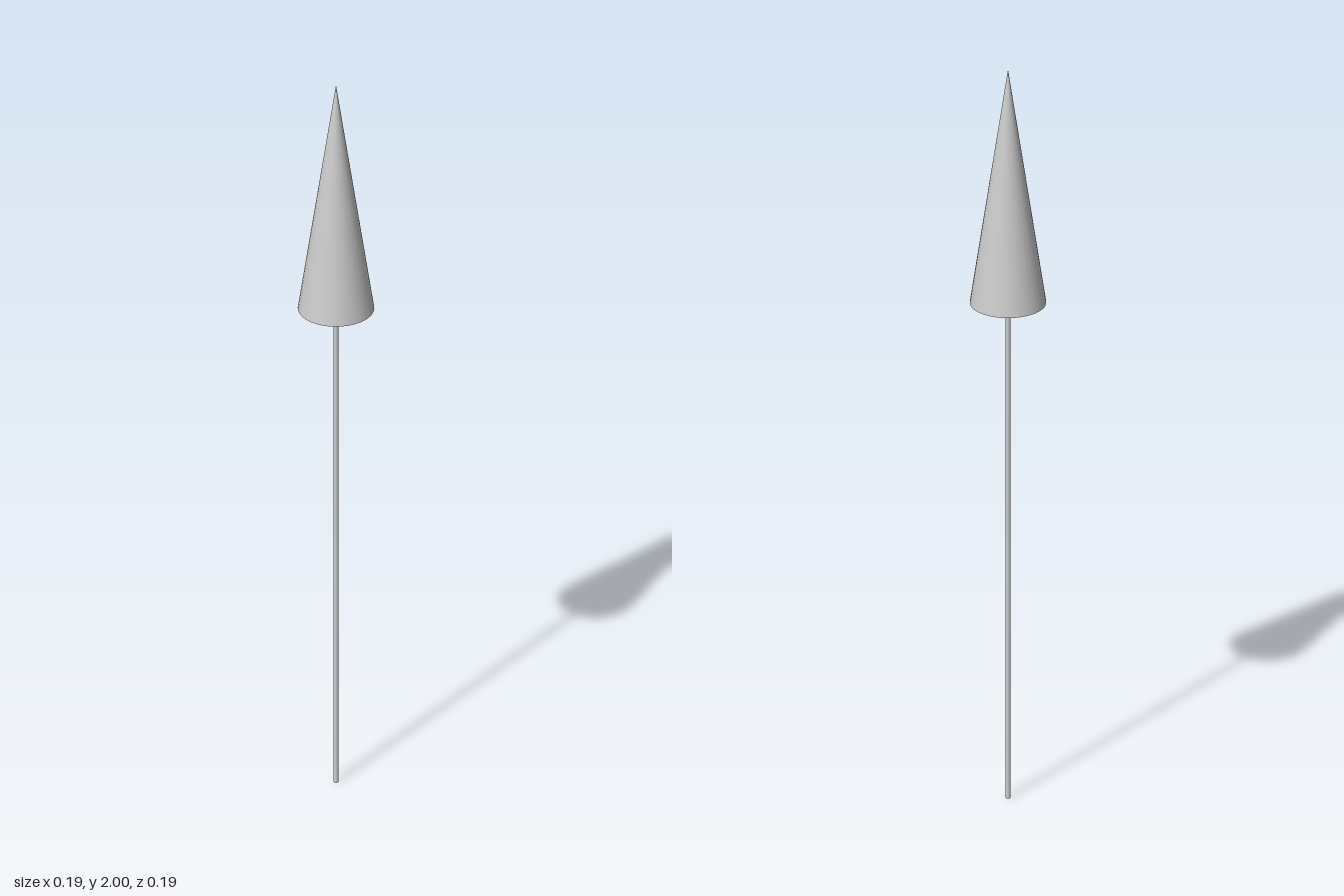
import * as THREE from 'three';

const HEIGHT = 2;
const HEAD_BASE = 1.36;
const HEAD_RADIUS = 0.096;
const SHAFT_RADIUS = 0.0065;

export function createModel() {
  const model = new THREE.Group();
  model.name = 'arrow';
  const material = new THREE.MeshStandardMaterial({ color: 0xcccccc });

  const add = (name, geometry, y) => {
    const mesh = new THREE.Mesh(geometry, material);
    mesh.name = name;
    mesh.position.y = y;
    model.add(mesh);
  };

  // Thin round shaft, from the ground to the base of the head
  add('shaft', new THREE.CylinderGeometry(SHAFT_RADIUS, SHAFT_RADIUS, HEAD_BASE, 16), HEAD_BASE / 2);

  // Pointed head with a flat closed base
  add('head', new THREE.ConeGeometry(HEAD_RADIUS, HEIGHT - HEAD_BASE, 36), (HEIGHT + HEAD_BASE) / 2);

  return model;
}
